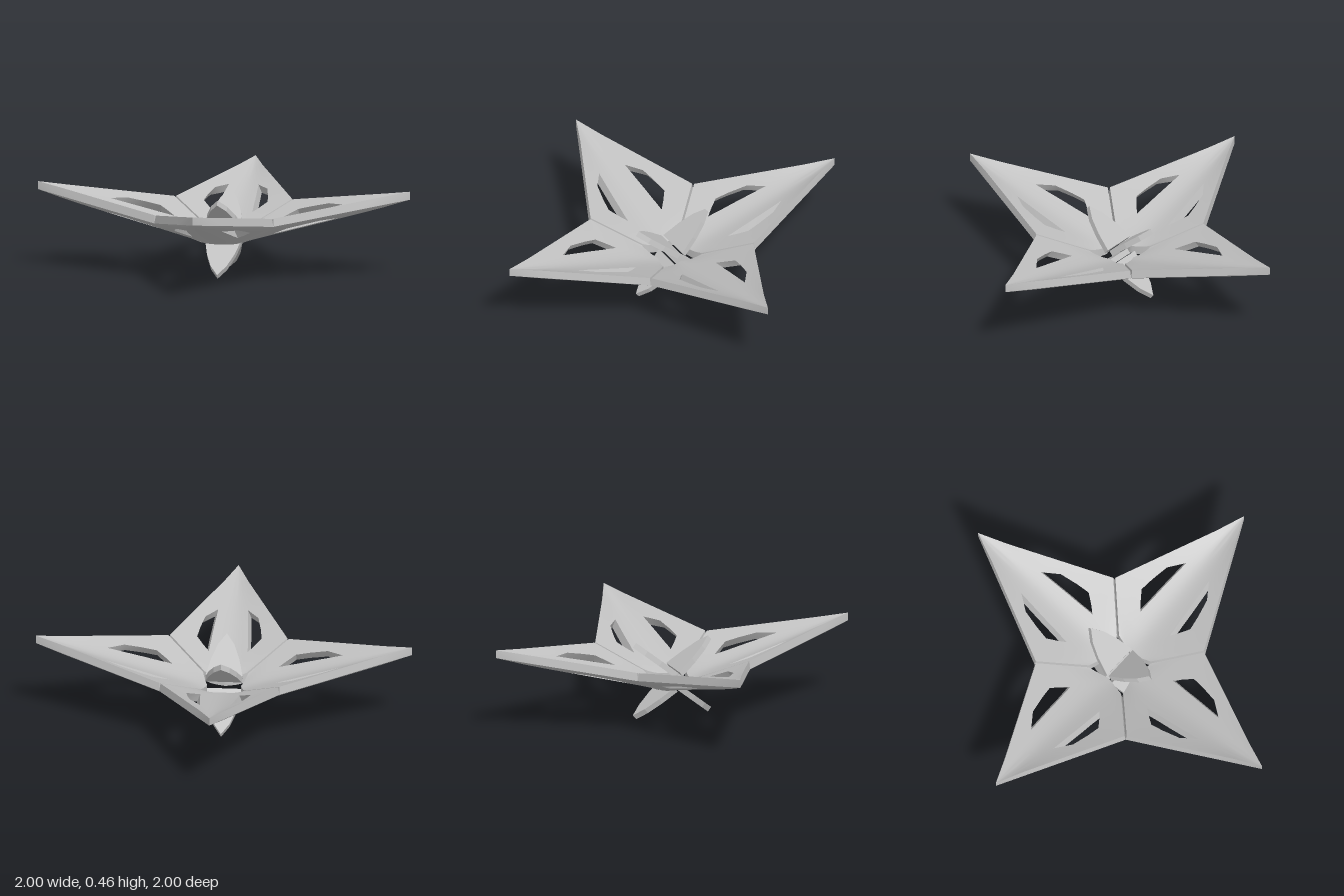
import * as THREE from 'three';
import { toCreasedNormals } from 'three/addons/utils/BufferGeometryUtils.js';

const lerp = THREE.MathUtils.lerp;
const THICK = 0.043;

// Stations along an arm: [distance from centre, window inner x, window outer x]
const STATIONS = [
  [0.09, 0.05, 0.05], [0.16, 0.07, 0.07], [0.22, 0.09, 0.09], [0.283, 0.106, 0.106],
  [0.32, 0.104, 0.138], [0.37, 0.1, 0.176], [0.444, 0.096, 0.166], [0.54, 0.089, 0.146],
  [0.625, 0.083, 0.083], [0.72, 0.062, 0.062], [0.85, 0.034, 0.034], [1, 0, 0],
];

// Half width, trough height and rim height of the arm's underside
const halfWidth = r => (r <= 0.32 ? Math.max(r, 0.12) : (1 - r) * 0.32 / 0.68);
const troughY = r => (r < 0.82 ? lerp(0.166, 0.364, (r - 0.09) / 0.73) : lerp(0.364, 0.42, (r - 0.82) / 0.18));
const rimY = r => (r < 0.32 ? 0.308 - (0.32 - r) * 0.59 : lerp(0.308, 0.42, (r - 0.32) / 0.68));
// Cross-section: rounded in the middle, flat flanks
const bend = x => Math.hypot(x, 0.06) - 0.06;

function armPoint(r, x, top, side) {
  const e = halfWidth(r);
  const t = e > 0 ? x / e : 0;
  const z = r === 0.09 ? r + 0.03 * t : r;
  const rise = e > 0 ? bend(x) / bend(e) : 0;
  const y = lerp(troughY(r), rimY(z), rise) + (top ? THICK : 0);
  // window walls lean outwards towards the underside; grooves stay open between arms on top
  const lean = top ? -0.008 * t : 0.65 * e * t * t * (1 - t);
  return new THREE.Vector3(side * (x + lean), y, z);
}

// One arm: a thick curved kite with a window on each side of its trough
function armGeometry() {
  const pos = [];
  const tri = (a, b, c) => {
    const area = b.clone().sub(a).cross(c.clone().sub(a)).length();
    if (area > 1e-9) for (const p of [a, b, c]) pos.push(p.x, p.y, p.z);
  };
  for (const side of [1, -1]) {
    const quad = (a, b, c, d) => {
      if (side > 0) { tri(a, b, c); tri(a, c, d); } else { tri(a, c, b); tri(a, d, c); }
    };
    const P = (r, x, top) => armPoint(r, x, top, side);
    const N = 4;
    const wall = (r0, x0, r1, x1, outward) => {
      const q = [P(r0, x0, false), P(r0, x0, true), P(r1, x1, true), P(r1, x1, false)];
      quad(...(outward ? q : q.reverse()));
    };
    for (let i = 0; i < STATIONS.length - 1; i++) {
      const [r0, a0, b0] = STATIONS[i], [r1, a1, b1] = STATIONS[i + 1];
      const e0 = halfWidth(r0), e1 = halfWidth(r1);
      // strips inside and outside the window
      for (const [s0, f0, s1, f1] of [[0, a0, 0, a1], [b0, e0, b1, e1]]) {
        for (let k = 0; k < N; k++) {
          const u = k / N, v = (k + 1) / N;
          const x00 = lerp(s0, f0, u), x01 = lerp(s0, f0, v);
          const x10 = lerp(s1, f1, u), x11 = lerp(s1, f1, v);
          quad(P(r0, x00, true), P(r1, x10, true), P(r1, x11, true), P(r0, x01, true));
          quad(P(r0, x01, false), P(r1, x11, false), P(r1, x10, false), P(r0, x00, false));
          // inner end
          if (i === 0) quad(P(r0, x00, false), P(r0, x00, true), P(r0, x01, true), P(r0, x01, false));
        }
      }
      // rim and window walls
      wall(r0, e0, r1, e1, true);
      if (a0 !== b0 || a1 !== b1) {
        wall(r0, a0, r1, a1, true);
        wall(r0, b0, r1, b1, false);
      }
    }
  }
  const geo = new THREE.BufferGeometry();
  geo.setAttribute('position', new THREE.Float32BufferAttribute(pos, 3));
  return toCreasedNormals(geo, 0.6);
}

// Leaf-shaped blade, lying in the xz plane and pointing along +z
function bladeGeometry() {
  const half = [[0.098, 0.018], [0.075, 0.12], [0.043, 0.208]];
  const outline = [...half, [0, 0.272], ...half.map(([x, s]) => [-x, s]).reverse()];
  const shape = new THREE.Shape(outline.map(([x, s]) => new THREE.Vector2(x, s)));
  const geo = new THREE.ExtrudeGeometry(shape, { depth: 0.03, bevelEnabled: false });
  return geo.translate(0, 0, -0.015).rotateX(Math.PI / 2);
}

export function createModel() {
  const model = new THREE.Group();
  model.name = 'fourPointedStar';
  const grey = new THREE.MeshStandardMaterial({ color: 0xc0c0c0 });
  grey.name = 'lightGrey';

  const armGeo = armGeometry();
  ['frontArm', 'leftArm', 'backArm', 'rightArm'].forEach((name, i) => {
    const arm = new THREE.Mesh(armGeo, grey);
    arm.name = name;
    arm.rotation.y = i * Math.PI / 2;
    model.add(arm);
  });

  // Four blades: one pair rising from the hub, one pair dropping below it
  const bladeGeo = bladeGeometry();
  const tilt = 0.67;
  [['upperFrontBlade', -tilt, 0.24], ['lowerFrontBlade', tilt, 0.181],
    ['lowerBackBlade', Math.PI - tilt, 0.181], ['upperBackBlade', Math.PI + tilt, 0.24]].forEach(([name, angle, y]) => {
    const blade = new THREE.Mesh(bladeGeo, grey);
    blade.name = name;
    blade.rotation.x = angle;
    blade.position.y = y;
    model.add(blade);
  });
  return model;
}
